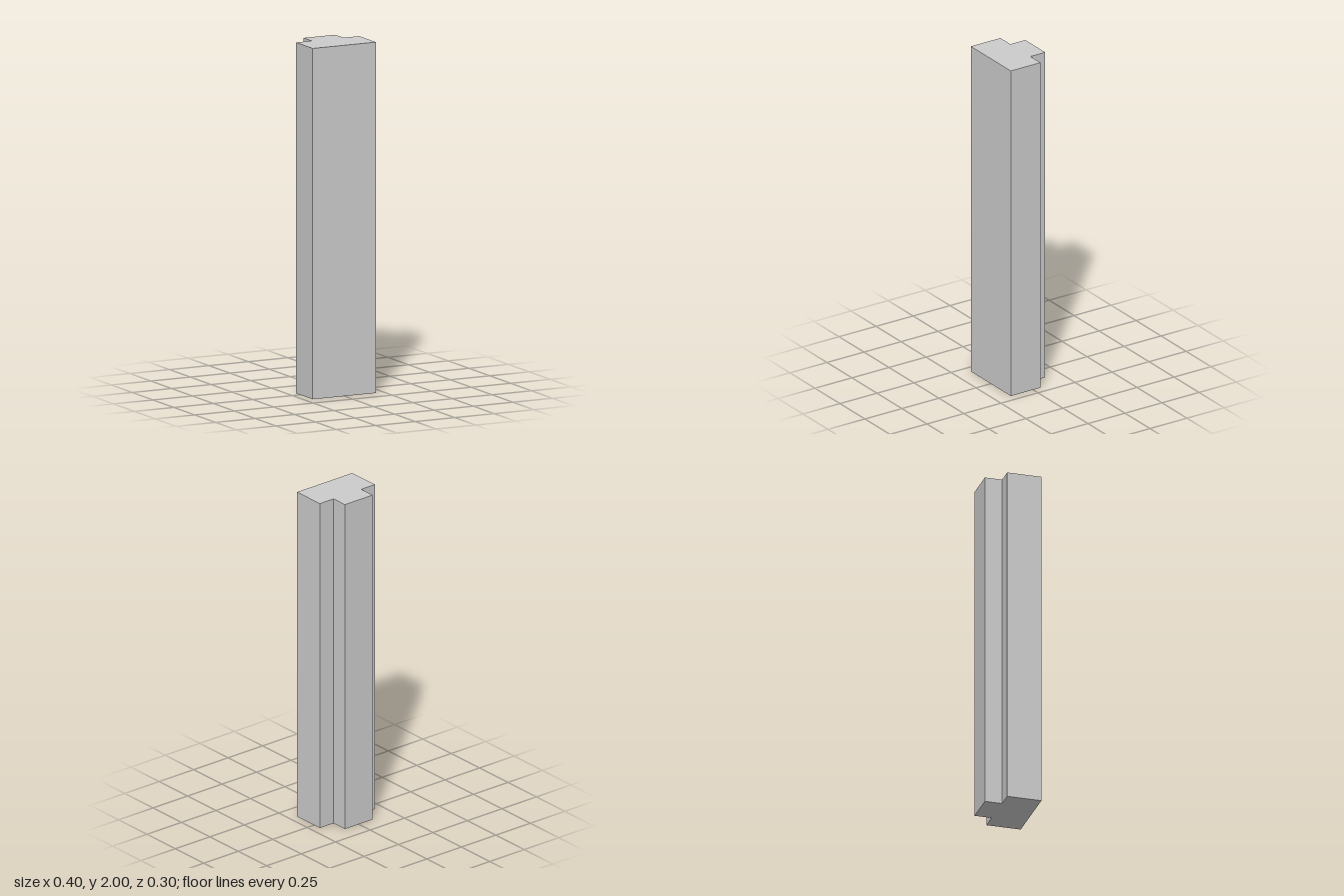
import * as THREE from 'three';

export function createModel() {
  const group = new THREE.Group();
  group.name = 'rebatedPost';

  // T-shaped cross-section: wide front face, narrower tongue at the back (shape y = -z)
  const half = [[0.2, -0.15], [0.2, 0.05], [0.1, 0.05], [0.1, 0.15]];
  const mirrored = half.map(([x, y]) => [-x, y]).reverse();
  const section = new THREE.Shape([...half, ...mirrored].map(([x, y]) => new THREE.Vector2(x, y)));

  // Extruded to full height and stood upright
  const geometry = new THREE.ExtrudeGeometry(section, { depth: 2, bevelEnabled: false });
  geometry.rotateX(-Math.PI / 2);

  const post = new THREE.Mesh(
    geometry,
    new THREE.MeshStandardMaterial({ color: 0xcccccc, flatShading: true })
  );
  post.name = 'post';
  group.add(post);
  return group;
}
